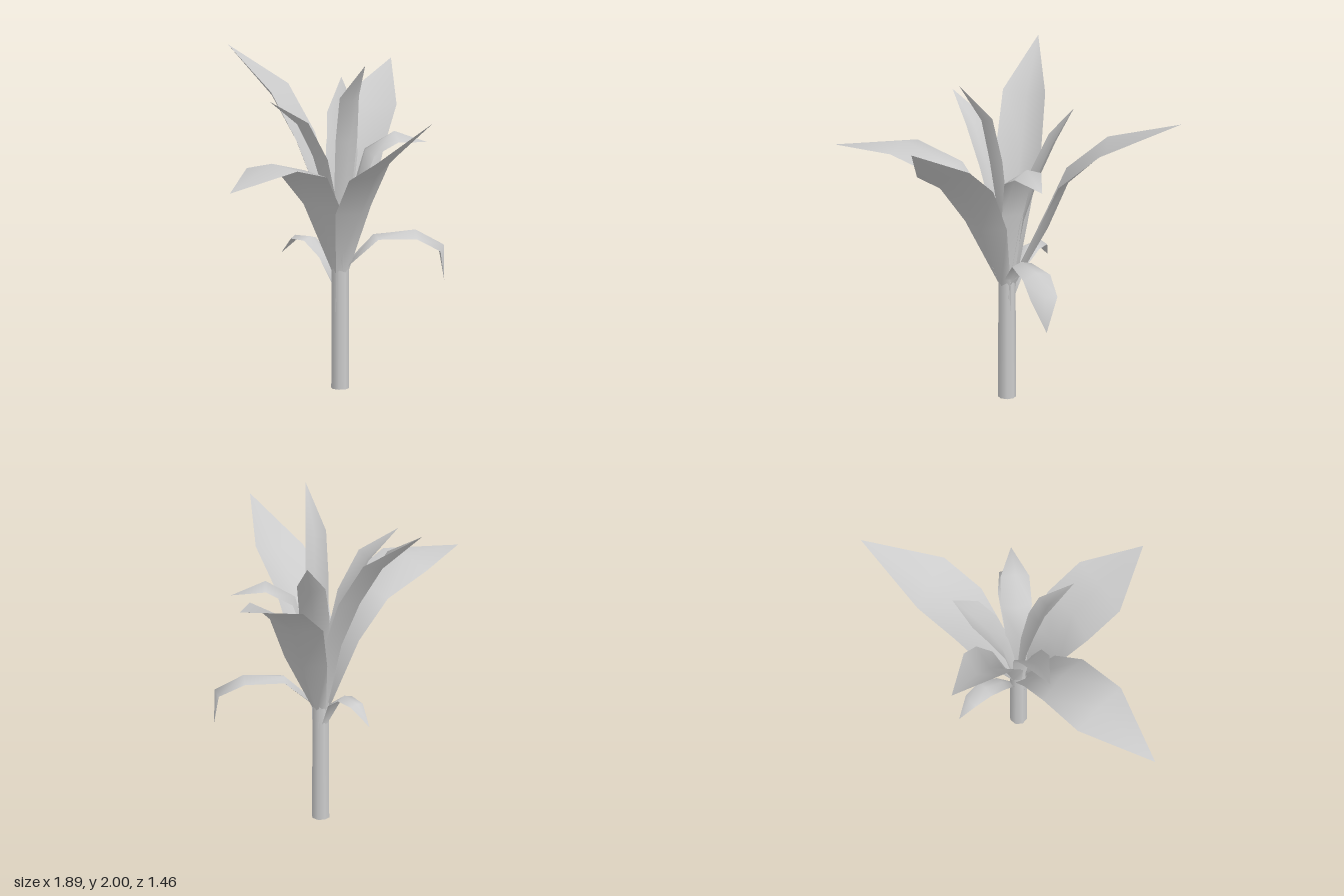
import * as THREE from 'three';

const STEM_X = 0.12, STEM_Z = -0.11;
const material = new THREE.MeshStandardMaterial({ color: 0xcccccc, side: THREE.DoubleSide });

// Each leaf: rows of [x, y, z, half width, crown] from sheath to tip.
// Positive crown arches the midrib upwards, negative folds it into a trough.
// Roll twists the blade progressively about its own length.
const leaves = {
  frontLeaf: { roll: -0.42, rows: [
    [0.12, 0.7, -0.09, 0.048, -0.6], [0.1, 1.1, 0.045, 0.15, -0.4], [0.1, 1.36, 0.205, 0.185, -0.28],
    [0.125, 1.52, 0.425, 0.185, -0.15], [0.165, 1.735, 0.73, 0, 0]] },
  backLeftLeaf: { rows: [
    [0.135, 0.7, -0.12, 0.045, -0.6], [0.275, 1.08, -0.23, 0.14, -0.35], [0.375, 1.37, -0.31, 0.175, -0.25],
    [0.575, 1.58, -0.45, 0.175, -0.18], [0.945, 1.745, -0.72, 0, 0]] },
  longRightLeaf: { roll: -0.1, rows: [
    [0.1, 0.7, -0.105, 0.045, -0.6], [-0.05, 1.12, -0.06, 0.13, -0.1], [-0.235, 1.345, 0, 0.17, 0.18],
    [-0.525, 1.435, 0.09, 0.18, 0.2], [-0.945, 1.38, 0.24, 0, 0]] },
  tallBackLeaf: { rows: [
    [0.115, 0.7, -0.13, 0.042, -0.6], [0.08, 1.15, -0.2, 0.105, -0.5], [0.02, 1.48, -0.31, 0.135, -0.5],
    [-0.07, 1.76, -0.445, 0.127, -0.55], [-0.235, 1.99, -0.73, 0, 0]] },
  tallCentreLeaf: { rows: [
    [0.12, 0.72, -0.105, 0.04, -0.5], [0.115, 1.15, -0.08, 0.055, -0.6], [0.105, 1.5, -0.03, 0.07, -0.6],
    [0.085, 1.77, 0.025, 0.062, -0.65], [0.055, 2, 0.22, 0, 0]] },
  lowLeftLeaf: { roll: -0.2, rows: [
    [0.14, 0.72, -0.1, 0.035, -0.5], [0.32, 0.89, -0.03, 0.062, 0.3], [0.53, 0.89, 0.06, 0.085, 0.4],
    [0.66, 0.81, 0.13, 0.08, 0.4], [0.69, 0.61, 0.14, 0, 0]] },
  archedLeftLeaf: { roll: -0.15, rows: [
    [0.135, 0.72, -0.1, 0.04, -0.5], [0.2, 1.15, -0.075, 0.07, 0.1], [0.28, 1.4, -0.04, 0.09, 0.35],
    [0.42, 1.48, 0.02, 0.085, 0.5], [0.605, 1.44, 0.09, 0, 0]] },
  lowBackLeaf: { rows: [
    [0.115, 0.6, -0.145, 0.02, -0.3], [0.095, 0.77, -0.235, 0.045, 0.3], [0.08, 0.85, -0.35, 0.055, 0.35],
    [0.055, 0.845, -0.455, 0.045, 0.35], [0.02, 0.74, -0.55, 0, 0]] },
  smallRightLeaf: { rows: [
    [0.11, 0.72, -0.11, 0.04, -0.5], [0.06, 1.12, -0.115, 0.06, -0.5], [-0.02, 1.4, -0.12, 0.085, -0.45],
    [-0.15, 1.635, -0.13, 0.08, -0.4], [-0.365, 1.775, -0.15, 0, 0]] },
  smallBackLeaf: { rows: [
    [0.125, 0.72, -0.12, 0.04, -0.5], [0.165, 1.1, -0.16, 0.065, -0.5], [0.215, 1.36, -0.22, 0.09, -0.45],
    [0.28, 1.59, -0.31, 0.085, -0.4], [0.36, 1.77, -0.42, 0, 0]] },
};

// Lofts a blade of three columns (edge, midrib, edge) along the rows,
// preceded by a sheath that runs down inside the stalk.
function leafGeometry({ rows: blade, roll = 0 }) {
  const rows = [[STEM_X, 0.01, STEM_Z, 0.04, -1], ...blade];
  const centres = rows.map(([x, y, z]) => new THREE.Vector3(x, y, z));
  const last = rows.length - 1;
  const heading = centres[last].clone().sub(centres[1]).setY(0).normalize();
  const flatSide = new THREE.Vector3(heading.z, 0, -heading.x);
  const positions = [], index = [];
  rows.forEach(([, , , halfWidth, crown], i) => {
    if (i === last) return positions.push(...centres[i].toArray());
    const tangent = centres[i + 1].clone().sub(centres[Math.max(i - 1, 0)]).normalize();
    const side = flatSide.clone().applyAxisAngle(tangent, -roll * Math.max(i - 1, 0) / (last - 1));
    const up = tangent.clone().cross(side).normalize();
    for (const s of [-1, 0, 1]) {
      const p = centres[i].clone().addScaledVector(side, s * halfWidth);
      if (s === 0) p.addScaledVector(up, crown * halfWidth);
      positions.push(...p.toArray());
    }
  });
  for (let i = 0; i < last; i++) {
    for (let c = 0; c < 2; c++) {
      const a = i * 3 + c, b = a + 1;
      if (i === last - 1) index.push(a, b, last * 3);
      else index.push(a, b, b + 3, a, b + 3, a + 3);
    }
  }
  const geometry = new THREE.BufferGeometry();
  geometry.setAttribute('position', new THREE.Float32BufferAttribute(positions, 3));
  geometry.setIndex(index);
  geometry.computeVertexNormals();
  return geometry;
}

export function createModel() {
  const plant = new THREE.Group();
  plant.name = 'plant';

  // Hollow stalk
  const stem = new THREE.Mesh(new THREE.CylinderGeometry(0.05, 0.053, 0.74, 8, 1, true), material);
  stem.name = 'stem';
  stem.position.set(STEM_X, 0.37, STEM_Z);
  plant.add(stem);

  // Leaves
  for (const [name, leaf] of Object.entries(leaves)) {
    const mesh = new THREE.Mesh(leafGeometry(leaf), material);
    mesh.name = name;
    plant.add(mesh);
  }
  return plant;
}
